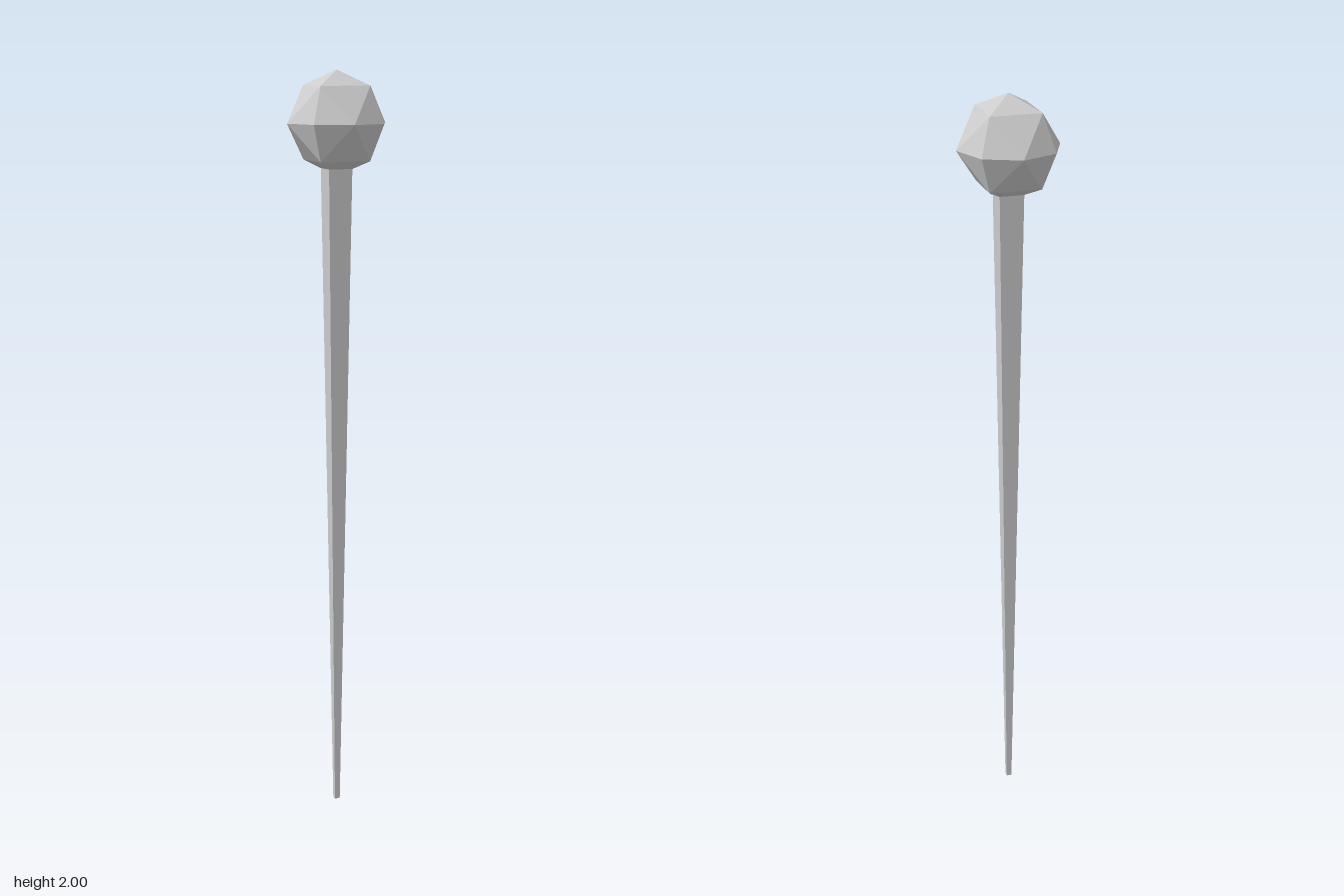
import * as THREE from 'three';

export function createModel() {
  const group = new THREE.Group();
  const material = new THREE.MeshStandardMaterial({ color: 0xcccccc, flatShading: true });
  const add = (name, geometry, y) => {
    const mesh = new THREE.Mesh(geometry, material);
    mesh.name = name;
    mesh.position.y = y;
    group.add(mesh);
  };

  const headRadius = 0.134;
  const stemHeight = 1.752; // ends on the lower facets of the head

  // Faceted ball on top
  add('head', new THREE.OctahedronGeometry(headRadius, 1), 2 - headRadius);

  // Four-sided spike with its corners on the axes, tapering to a small flat tip
  add('spike', new THREE.CylinderGeometry(0.045, 0.01, stemHeight, 4), stemHeight / 2);

  return group;
}
